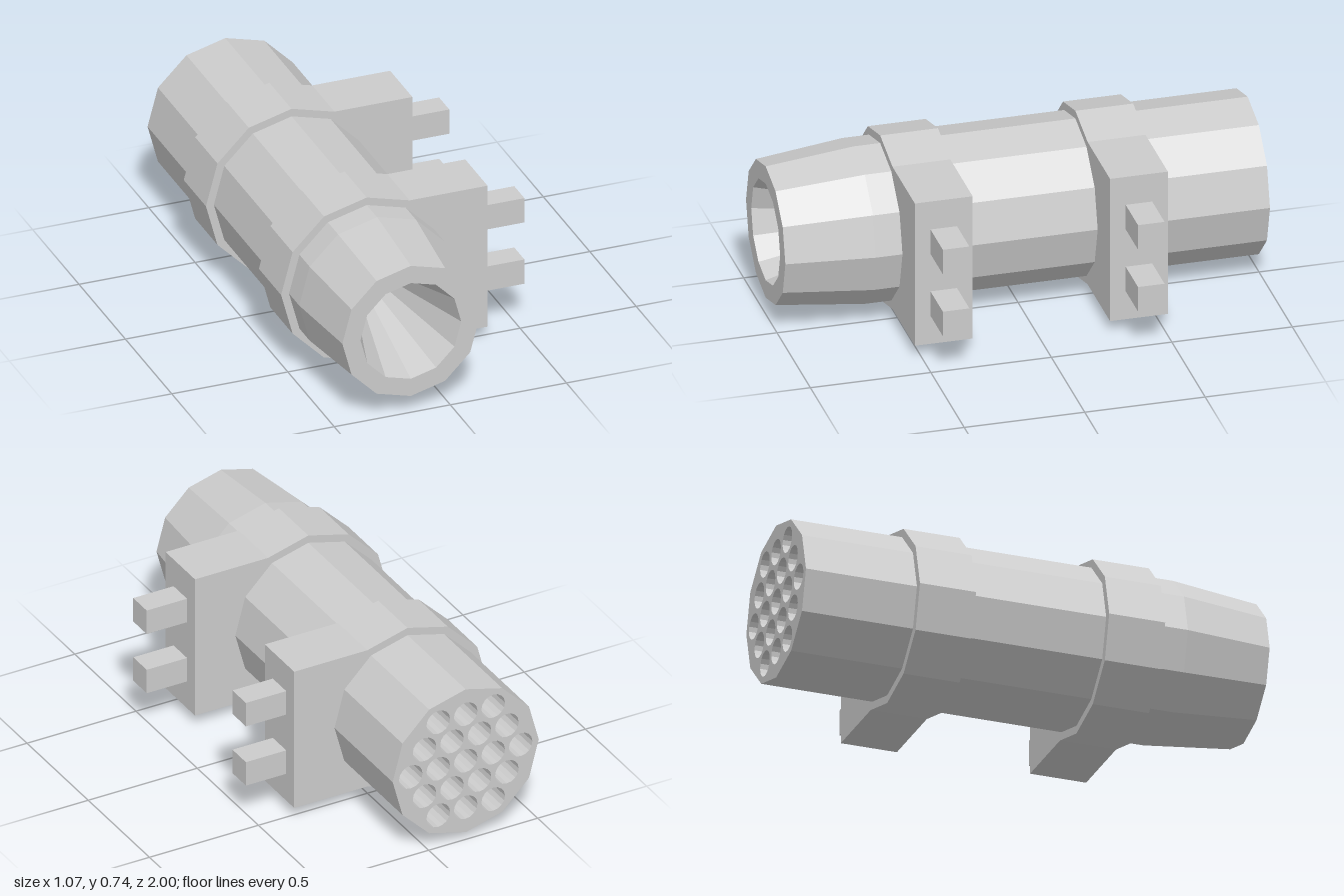
import * as THREE from 'three';

const AXIS_X = -0.17, AXIS_Y = 0.37;
const SIDES = 12, BODY_R = 0.335, TUBE_R = 0.054, TUBE_SIDES = 16, PITCH = 0.126;

const material = new THREE.MeshStandardMaterial({ color: 0xcccccc, flatShading: true });

function addMesh(parent, geometry, name, x = 0, y = 0, z = 0) {
  const mesh = new THREE.Mesh(geometry, material);
  mesh.name = name;
  mesh.position.set(x, y, z);
  parent.add(mesh);
  return mesh;
}

// Regular polygon corners, counter-clockwise
function polygon(radius, sides, cx = 0, cy = 0) {
  return Array.from({ length: sides }, (_, i) => {
    const a = (i / sides) * Math.PI * 2;
    return new THREE.Vector2(cx + radius * Math.cos(a), cy + radius * Math.sin(a));
  });
}

// Lathe turned about the z axis; profile is [radius, z] pairs
function turned(profile, sides) {
  return new THREE.LatheGeometry(profile.map(([r, z]) => new THREE.Vector2(r, z)), sides)
    .rotateX(Math.PI / 2);
}

// Centres of 19 tubes in hexagonal rows of 3, 4, 5, 4, 3
function tubeCentres() {
  const centres = [];
  for (let row = -2; row <= 2; row++) {
    const count = 5 - Math.abs(row);
    for (let i = 0; i < count; i++) {
      centres.push([(i - (count - 1) / 2) * PITCH, row * PITCH * 0.866]);
    }
  }
  return centres;
}

export function createModel() {
  const model = new THREE.Group();
  model.name = 'tubePod';

  // Barrel: straight shell, tapered nose, rim and conical recess
  const barrel = new THREE.Group();
  barrel.name = 'barrel';
  barrel.position.set(AXIS_X, AXIS_Y, 0);
  model.add(barrel);
  addMesh(barrel, turned([[BODY_R, -1], [BODY_R, 0.635], [0.295, 1], [0.217, 1], [0, 0.3]], SIDES), 'shell');

  // Rear plate pierced by the tubes
  const plate = new THREE.Shape(polygon(BODY_R, SIDES));
  const tube = turned([[0, -0.7], [TUBE_R, -0.7], [TUBE_R, -1]], TUBE_SIDES);
  for (const [x, y] of tubeCentres()) {
    plate.holes.push(new THREE.Path(polygon(TUBE_R, TUBE_SIDES, x, y).reverse()));
    addMesh(barrel, tube, 'rearTube', x, y, 0);
  }
  addMesh(barrel, new THREE.ShapeGeometry(plate).rotateY(Math.PI), 'rearPlate', 0, 0, -1);

  // Mounting clamps: collar merging into a square block, with two pegs each
  const collar = polygon(0.369, SIDES, AXIS_X, AXIS_Y).slice(2, 11);
  const outline = new THREE.Shape([
    ...collar,
    new THREE.Vector2(0.35, collar[8].y),
    new THREE.Vector2(0.35, collar[0].y),
  ]);
  // Bore that lets the barrel pass through
  outline.holes.push(new THREE.Path(polygon(BODY_R - 0.005, SIDES, AXIS_X, AXIS_Y).reverse()));
  const clampGeometry = new THREE.ExtrudeGeometry(outline, { depth: 0.24, bevelEnabled: false })
    .translate(0, 0, -0.12);
  const pegGeometry = new THREE.BoxGeometry(0.185, 0.11, 0.11);
  for (const [name, z] of [['frontClamp', 0.405], ['rearClamp', -0.405]]) {
    const clamp = new THREE.Group();
    clamp.name = name;
    clamp.position.z = z;
    model.add(clamp);
    addMesh(clamp, clampGeometry, 'clampBlock');
    for (const side of [1, -1]) {
      addMesh(clamp, pegGeometry, side > 0 ? 'upperPeg' : 'lowerPeg', 0.4425, AXIS_Y + side * 0.139, 0);
    }
  }
  return model;
}
